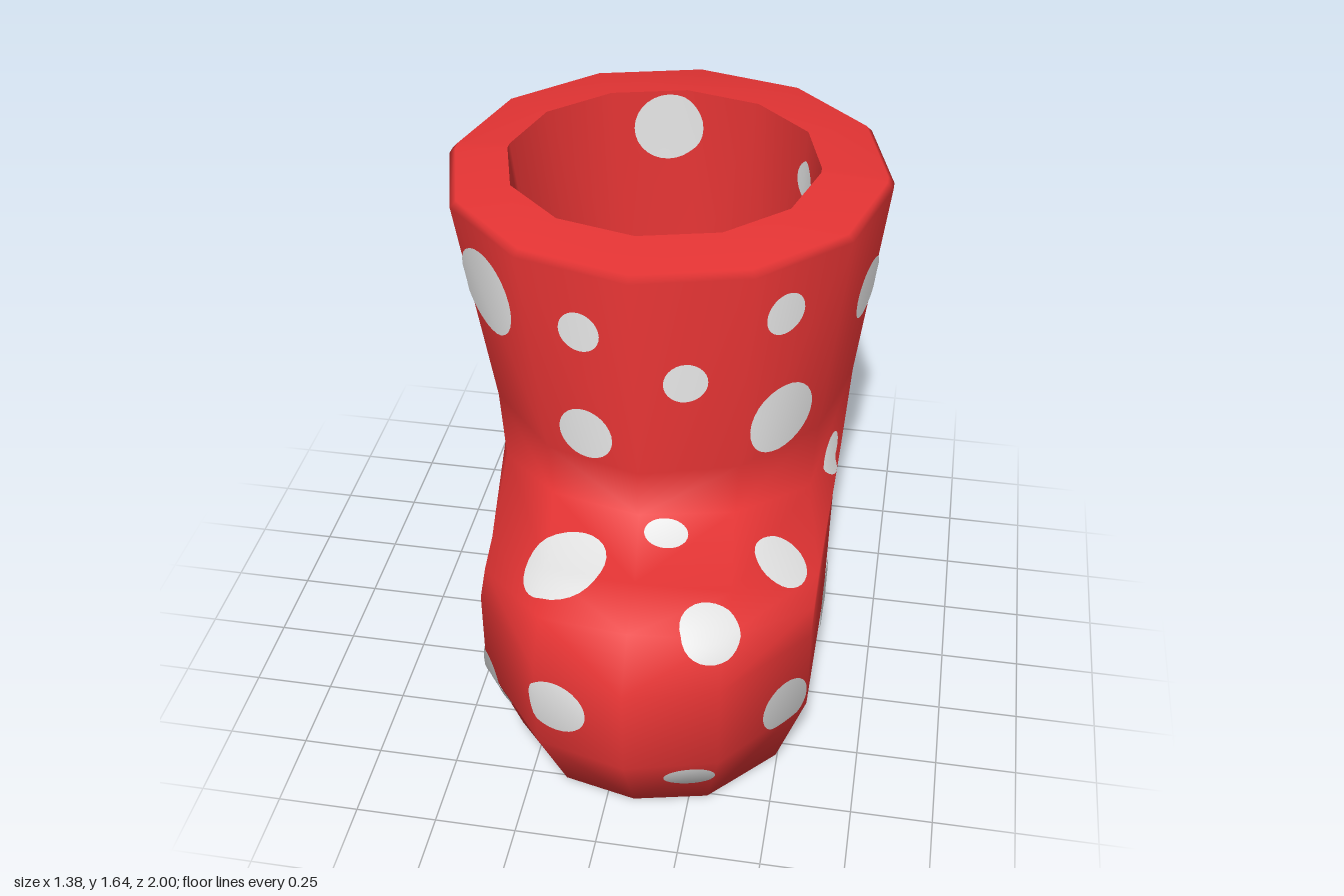
import * as THREE from 'three';

// Ring row: [boxy toe 0..1, yFront, ySide, yBack, front xLeft, xRight, zCentre, zTip, back xLeft, xRight, zCentre, zTip]
const BODY = [
  [1, 0.01, 0.01, 0.01, -0.33, 0.50, 0.22, 0.82, -0.26, 0.47, -0.27, -0.74],
  [1, 0.32, 0.32, 0.32, -0.42, 0.59, 0.15, 0.99, -0.40, 0.56, -0.30, -0.83],
  [1, 0.62, 0.60, 0.60, -0.42, 0.59, 0.15, 1.00, -0.49, 0.58, -0.30, -0.885],
  [1, 0.78, 0.64, 0.65, -0.42, 0.59, 0.12, 0.91, -0.50, 0.585, -0.30, -0.895],
  [1, 0.83, 0.65, 0.69, -0.43, 0.59, 0.02, 0.75, -0.51, 0.59, -0.30, -0.905],
  [0, 0.83, 0.68, 0.73, -0.525, 0.595, -0.20, 0.44, -0.52, 0.595, -0.30, -0.915],
  [0, 0.95, 0.95, 0.95, -0.56, 0.612, -0.27, 0.40, -0.56, 0.612, -0.31, -0.94],
  [0, 1.605, 1.605, 1.605, -0.69, 0.69, -0.28, 0.40, -0.69, 0.69, -0.32, -1.0],
  [0, 1.625, 1.625, 1.625, -0.67, 0.67, -0.28, 0.38, -0.67, 0.67, -0.32, -0.98],
  [0, 1.645, 1.645, 1.645, -0.50, 0.47, -0.27, 0.20, -0.50, 0.47, -0.30, -0.77],
];
const LINER = [
  [0, 1.645, 1.645, 1.645, -0.50, 0.47, -0.27, 0.20, -0.50, 0.47, -0.30, -0.77],
  [0, 0.95, 0.95, 0.95, -0.41, 0.46, -0.27, 0.20, -0.41, 0.46, -0.30, -0.76],
  [0, 0.50, 0.50, 0.50, -0.27, 0.44, -0.25, 0.20, -0.27, 0.44, -0.30, -0.70],
  [0, 0.25, 0.25, 0.25, -0.20, 0.40, -0.22, 0.20, -0.20, 0.40, -0.30, -0.62],
];
// Boxy toe outline from tip to side: sideways reach, forward reach, height share
const TOE = [[0, 1, 1], [0.535, 0.915, 0.74], [0.99, 0.57, 0.14], [1, 0, 0]];

function ringPoints([q, yF, yS, yB, fl, fr, zf, tipF, bl, br, zb, tipB]) {
  const pts = [], mix = THREE.MathUtils.lerp;
  for (let k = -3; k <= 3; k++) {
    const t = (k * Math.PI) / 6, [tx, tz, ty] = TOE[Math.abs(k)];
    const s = mix(Math.sin(t), Math.sign(k) * tx, q);
    const z = zf + (tipF - zf) * mix(Math.cos(t), tz, q);
    const y = yS + (yF - yS) * mix(Math.cos(t), ty, q);
    pts.push([(fl + fr) / 2 + ((fr - fl) / 2) * s, y, z]);
  }
  for (let k = 3; k >= -3; k--) {
    const t = (k * Math.PI) / 6;
    pts.push([(bl + br) / 2 + ((br - bl) / 2) * Math.sin(t), yB, zb + (tipB - zb) * Math.cos(t)]);
  }
  return pts;
}

// Skin through the rings, closing the first or last ring with a fan
function loft(rows, capRow, capPoint, flip) {
  const pos = [], idx = [], n = 14;
  rows.forEach((r) => ringPoints(r).forEach((p) => pos.push(...p)));
  for (let i = 0; i < rows.length - 1; i++)
    for (let j = 0; j < n; j++) {
      const k = (j + 1) % n;
      const a = i * n + j, b = i * n + k, c = b + n, d = a + n;
      // Mirror the diagonals so both sides fold alike
      if (j < 3 || j > 9) idx.push(a, b, d, b, c, d);
      else idx.push(a, b, c, a, c, d);
    }
  const centre = pos.length / 3;
  pos.push(...capPoint);
  for (let j = 0; j < n; j++) {
    const a = capRow * n + j, b = capRow * n + ((j + 1) % n);
    idx.push(centre, flip ? b : a, flip ? a : b);
  }
  const g = new THREE.BufferGeometry();
  g.setAttribute('position', new THREE.Float32BufferAttribute(pos, 3));
  g.setIndex(idx);
  g.computeVertexNormals();
  return g;
}

// Round patch draped over a surface around the spot where a ray lands
function dotGeometry(target, origin, dir, radius) {
  const caster = new THREE.Raycaster(origin, dir.clone().normalize());
  const hit = caster.intersectObject(target)[0];
  if (!hit) return null;
  const n = hit.normal.clone().normalize();
  const u = new THREE.Vector3(0, 1, 0).cross(n);
  if (u.lengthSq() < 0.01) u.set(1, 0, 0);
  u.normalize();
  const v = n.clone().cross(u);
  const pos = [], nor = [], idx = [], rings = 5, seg = 28;
  const add = (r, a) => {
    const p = hit.point.clone().addScaledVector(u, r * Math.cos(a)).addScaledVector(v, r * Math.sin(a));
    caster.set(p.clone().addScaledVector(n, 0.25), n.clone().negate());
    const h = caster.intersectObject(target)[0];
    const ok = h && h.point.distanceTo(p) < 0.2;
    const nn = ok ? h.normal : n;
    const q = (ok ? h.point.clone() : p).addScaledVector(nn, 0.006);
    pos.push(q.x, q.y, q.z);
    nor.push(nn.x, nn.y, nn.z);
  };
  add(0, 0);
  for (let i = 1; i <= rings; i++)
    for (let j = 0; j < seg; j++) add((radius * i) / rings, (j / seg) * Math.PI * 2);
  for (let j = 0; j < seg; j++) {
    const k = (j + 1) % seg;
    idx.push(0, 1 + j, 1 + k);
    for (let i = 0; i < rings - 1; i++) {
      const a = 1 + i * seg + j, b = 1 + i * seg + k;
      idx.push(a, a + seg, b + seg, a, b + seg, b);
    }
  }
  const g = new THREE.BufferGeometry();
  g.setAttribute('position', new THREE.Float32BufferAttribute(pos, 3));
  g.setAttribute('normal', new THREE.Float32BufferAttribute(nor, 3));
  g.setIndex(idx);
  return g;
}

// Outer dots: x, y, z near the surface, radius
const DOTS = [
  // shaft
  [-0.48, 1.39, 0.17, 0.14], [-0.15, 1.41, 0.36, 0.065], [0.16, 1.27, 0.36, 0.065],
  [0.43, 1.45, 0.23, 0.068], [-0.14, 1.05, 0.37, 0.088], [0.45, 1.07, 0.23, 0.122],
  [0.64, 1.31, -0.19, 0.1], [0.56, 1.0, -0.62, 0.115], [0.44, 1.3, -0.8, 0.085],
  [0.17, 0.9, -0.9, 0.065], [0.57, 0.75, -0.07, 0.07], [-0.53, 0.74, -0.12, 0.065],
  [-0.2, 1.42, -0.93, 0.105], [-0.66, 1.41, -0.4, 0.085], [-0.42, 0.93, -0.7, 0.135],
  // heel
  [0.31, 0.43, -0.8, 0.112], [0.46, 0.17, -0.41, 0.07], [-0.37, 0.35, -0.62, 0.105],
  [-0.39, 0.19, -0.07, 0.06],
  // foot
  [-0.13, 0.5, 0.96, 0.095], [0.52, 0.39, 0.71, 0.09], [0.27, 0.22, 0.9, 0.075],
  [-0.41, 0.28, 0.61, 0.12], [-0.42, 0.57, 0.29, 0.095], [0.59, 0.38, 0.19, 0.115],
  [0.46, 0.73, 0.48, 0.09], [0.31, 0.75, 0.83, 0.09], [0.13, 0.82, 0.51, 0.065],
  [-0.14, 0.78, 0.66, 0.13],
];
// Inner dots: bearing in degrees, height, radius
const INNER_DOTS = [
  [46, 1.54, 0.065], [6, 1.36, 0.065], [48, 1.19, 0.11], [-28, 1.5, 0.07],
  [115, 1.48, 0.08], [187, 1.52, 0.115], [226, 0.75, 0.12], [298, 1.5, 0.08],
  [296, 0.9, 0.07],
];

export function createModel() {
  const group = new THREE.Group();
  const red = new THREE.MeshStandardMaterial({ color: 0xe53434 });
  red.name = 'red';
  const white = new THREE.MeshStandardMaterial({ color: 0xe5e5e5 });
  white.name = 'white';
  const add = (name, geometry, material, parent = group) => {
    const m = new THREE.Mesh(geometry, material);
    m.name = name;
    parent.add(m);
    return m;
  };

  // Boot shell with sole and rim, and the hollow inside
  const shell = add('bootShell', loft(BODY, 0, [0.08, 0, 0.04], true), red);
  const liner = add('bootLining', loft(LINER, LINER.length - 1, [0.08, 0.24, -0.2], false), red);

  // Painted dots
  const dots = new THREE.Group();
  dots.name = 'dots';
  group.add(dots);
  for (const [x, y, z, r] of DOTS) {
    const foot = z > 0.1 && y < 0.84;
    const anchor = foot ? new THREE.Vector3(0.085, 0.42, Math.min(z, 0.55)) : new THREE.Vector3(0, y, -0.28);
    const out = new THREE.Vector3(x, y, z).sub(anchor).normalize();
    const g = dotGeometry(shell, anchor.addScaledVector(out, 2), out.clone().negate(), r);
    if (g) add('outerDot', g, white, dots);
  }
  for (const [deg, y, r] of INNER_DOTS) {
    const a = THREE.MathUtils.degToRad(deg);
    const g = dotGeometry(liner, new THREE.Vector3(-0.015, y, -0.285), new THREE.Vector3(Math.sin(a), 0, Math.cos(a)), r);
    if (g) add('innerDot', g, white, dots);
  }
  return group;
}
